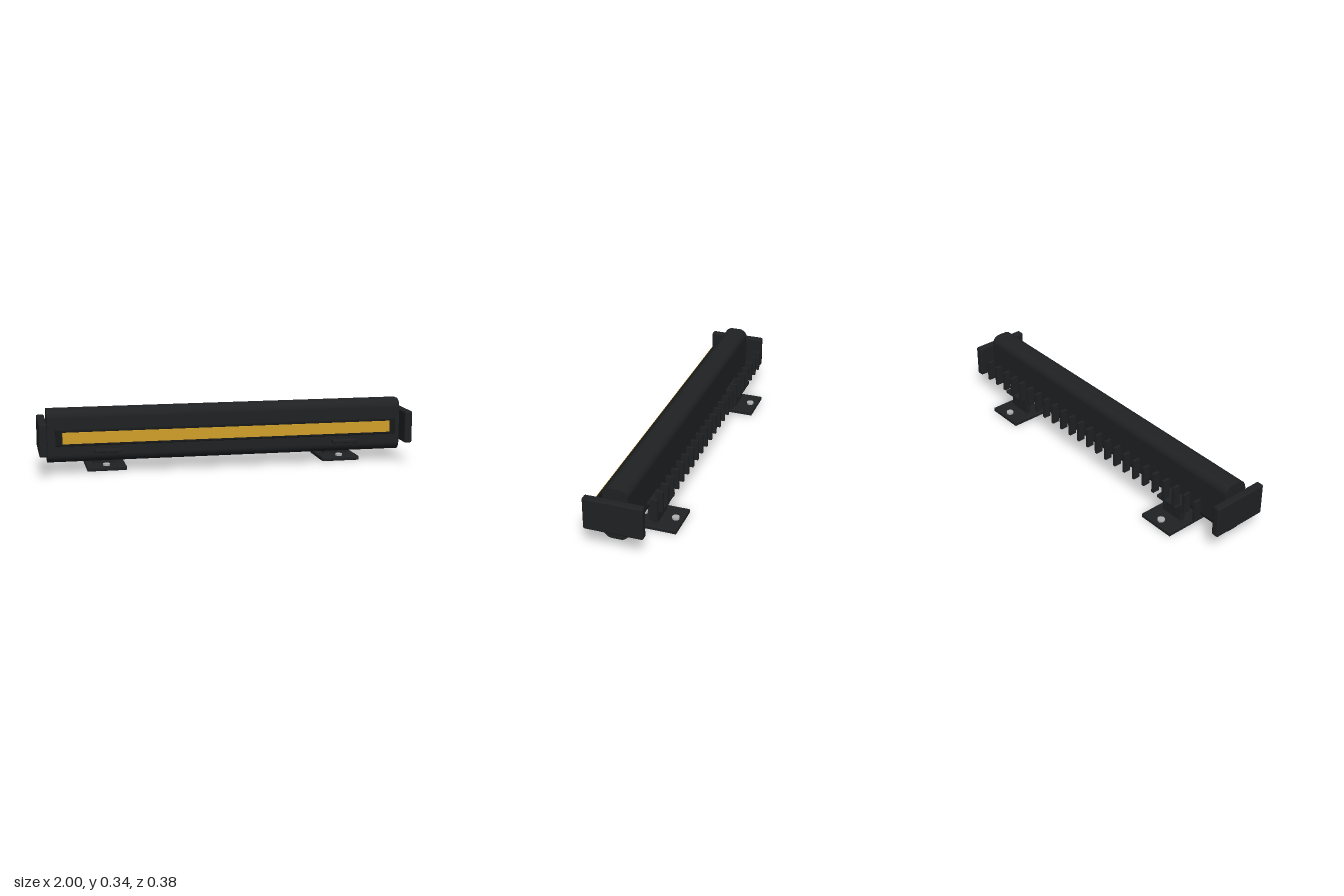
import * as THREE from 'three';
import { RoundedBoxGeometry } from 'three/addons/geometries/RoundedBoxGeometry.js';

const mat = (color) => new THREE.MeshStandardMaterial({ color });

export function createModel() {
  const model = new THREE.Group();
  model.name = 'lightBar';
  const black = mat(0x1f2123);
  const darker = mat(0x17191b);
  const amber = mat(0xd0a028);
  const steel = mat(0xb0b0b0);
  const pale = mat(0xd8dcd4);

  function add(parent, name, geometry, material, x = 0, y = 0, z = 0) {
    const mesh = new THREE.Mesh(geometry, material);
    mesh.name = name;
    mesh.position.set(x, y, z);
    parent.add(mesh);
    return mesh;
  }

  // Box given by its limits on each axis, with softly rounded edges
  function block(parent, name, material, [x0, x1], [y0, y1], [z0, z1], r) {
    const geometry = r
      ? new RoundedBoxGeometry(x1 - x0, y1 - y0, z1 - z0, 3, r)
      : new THREE.BoxGeometry(x1 - x0, y1 - y0, z1 - z0);
    return add(parent, name, geometry, material, (x0 + x1) / 2, (y0 + y1) / 2, (z0 + z1) / 2);
  }

  // Housing: rounded rectangle section swept along x
  const w = 0.066, h = 0.14, r = 0.045;
  const section = new THREE.Shape();
  section.moveTo(-w + r, -h);
  section.lineTo(w - r, -h);
  section.absarc(w - r, -h + r, r, -Math.PI / 2, 0);
  section.absarc(w - r, h - r, r, 0, Math.PI / 2);
  section.absarc(-w + r, h - r, r, Math.PI / 2, Math.PI);
  section.absarc(-w + r, -h + r, r, Math.PI, Math.PI * 1.5);
  const sweep = new THREE.ExtrudeGeometry(section, { depth: 1.91, bevelEnabled: false, curveSegments: 10 });
  sweep.translate(0, 0, -0.955);
  sweep.rotateY(Math.PI / 2);
  add(model, 'housing', sweep, black, 0, 0.201, 0.038);

  // End caps
  for (const s of [-1, 1]) {
    add(model, 'endCap', new RoundedBoxGeometry(0.042, 0.174, 0.309, 3, 0.01), black, s * 0.979, 0.2, 0.0375);
  }

  // Lens in its bezel, with a row of emitters behind
  block(model, 'bezel', darker, [-0.915, 0.915], [0.16, 0.246], [0.146, 0.157], 0.004);
  block(model, 'lens', amber, [-0.88, 0.88], [0.174, 0.233], [0.15, 0.166]);
  const emitter = new THREE.CylinderGeometry(0.022, 0.022, 0.014, 16);
  emitter.rotateX(Math.PI / 2);
  for (let i = 0; i < 20; i++) {
    add(model, 'emitter', emitter, pale, (i - 9.5) * 0.0855, 0.203, 0.14);
  }

  // Cooling fins along the back
  const fin = new THREE.BoxGeometry(0.016, 0.112, 0.04);
  for (let i = 0; i < 24; i++) {
    add(model, 'coolingFin', fin, black, (i - 11.5) * 0.0742, 0.2, -0.119);
  }

  // Mounting brackets: foot plate, post, saddle and two bolts each
  for (const s of [-1, 1]) {
    const bracket = new THREE.Group();
    bracket.name = 'mountingBracket';
    bracket.position.x = s * 0.642;
    block(bracket, 'footPlate', black, [-0.105, 0.105], [0, 0.022], [-0.191, 0.055], 0.005);
    block(bracket, 'post', black, [-0.068, 0.068], [0.018, 0.12], [-0.081, -0.053], 0.005);
    block(bracket, 'saddle', black, [-0.07, 0.07], [0.115, 0.133], [-0.123, 0.139], 0.005);
    for (const z of [0.017, -0.152]) {
      add(bracket, 'bolt', new THREE.CylinderGeometry(0.019, 0.019, 0.014, 20), steel, 0, 0.026, z);
    }
    model.add(bracket);
  }

  return model;
}
